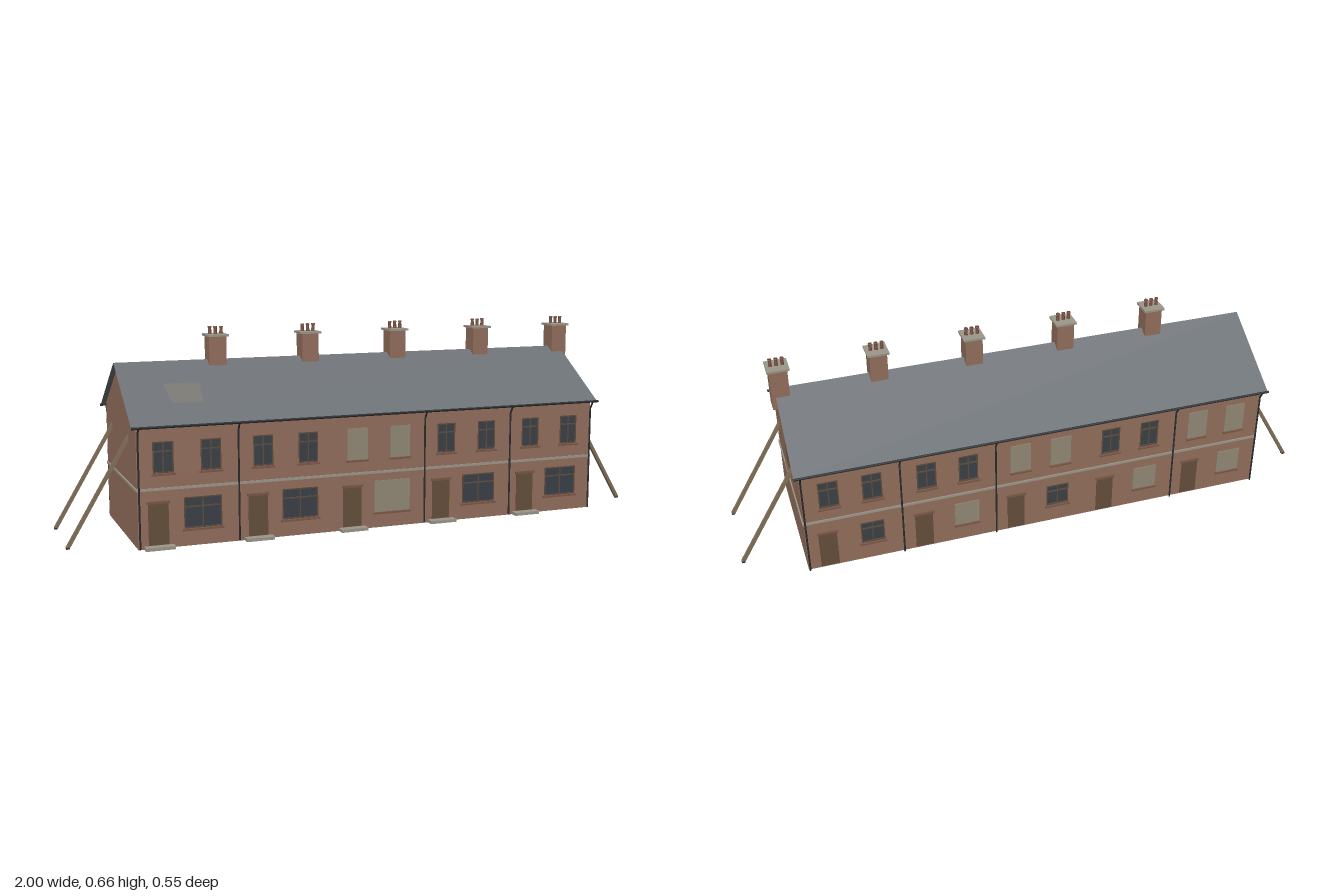
import * as THREE from 'three';

const mat = (color) => new THREE.MeshStandardMaterial({ color, side: THREE.DoubleSide });
const BRICK = mat(0x94705e), SLATE = mat(0x6c7176), STONE = mat(0x9d988b), GLASS = mat(0x3b4148);
const FRAME = mat(0x5f4d40), DOOR = mat(0x664f3d), BOARD = mat(0x938a76), SILL = mat(0x7c5848);
const IRON = mat(0x2b2d30), TIMBER = mat(0x84705a), POT = mat(0x7f5646), TARP = mat(0x77756f);

const HALF = 0.797, DEPTH = 0.247, BASE = 0.005, EAVES = 0.397, RIDGE = 0.556;
const UNIT = HALF * 2 / 5;

function add(parent, name, geometry, material, x = 0, y = 0, z = 0) {
  const mesh = new THREE.Mesh(geometry, material);
  mesh.name = name;
  mesh.position.set(x, y, z);
  parent.add(mesh);
  return mesh;
}

// Box given by its limits
function box(parent, name, material, x0, x1, y0, y1, z0, z1) {
  return add(parent, name, new THREE.BoxGeometry(x1 - x0, y1 - y0, z1 - z0), material,
    (x0 + x1) / 2, (y0 + y1) / 2, (z0 + z1) / 2);
}

const polygon = (pts, Type = THREE.Shape) => new Type(pts.map(([x, y]) => new THREE.Vector2(x, y)));
const rect = (x0, x1, y0, y1, Type) => polygon([[x0, y0], [x1, y0], [x1, y1], [x0, y1]], Type);

// Flat quad from four corners in order
function quad(parent, name, material, corners) {
  const g = new THREE.BufferGeometry();
  g.setAttribute('position', new THREE.Float32BufferAttribute(corners.flat(), 3));
  g.setIndex([0, 1, 2, 0, 2, 3]);
  g.computeVertexNormals();
  return add(parent, name, g, material);
}

// Four-light window with short top panes
function addWindow(parent, [x0, x1, y0, y1]) {
  const g = new THREE.Group();
  g.name = 'window';
  const b = 0.004, mid = (x0 + x1) / 2, bar = y0 + (y1 - y0) * 0.69;
  const frame = rect(x0, x1, y0, y1);
  for (const [l, r] of [[x0 + b, mid - b / 2], [mid + b / 2, x1 - b]])
    for (const [d, u] of [[y0 + b, bar - b / 2], [bar + b / 2, y1 - b]])
      frame.holes.push(rect(l, r, d, u, THREE.Path));
  add(g, 'windowFrame', new THREE.ExtrudeGeometry(frame, { depth: 0.007, bevelEnabled: false }), FRAME, 0, 0, -0.006);
  box(g, 'glass', GLASS, x0, x1, y0, y1, -0.005, -0.003);
  box(g, 'sill', SILL, x0 - 0.005, x1 + 0.005, y0 - 0.007, y0 - 0.001, -0.003, 0.007);
  parent.add(g);
}

function addBoard(parent, [x0, x1, y0, y1]) {
  box(parent, 'windowBoard', BOARD, x0 - 0.003, x1 + 0.003, y0 - 0.003, y1 + 0.003, -0.003, 0.003);
  box(parent, 'sill', SILL, x0 - 0.005, x1 + 0.005, y0 - 0.01, y0 - 0.004, -0.003, 0.007);
}

function addDoor(parent, [x0, x1, y0, y1], step) {
  box(parent, 'door', DOOR, x0, x1, y0, y1, -0.005, 0.001);
  box(parent, 'doorLintel', SILL, x0 - 0.004, x1 + 0.004, y1 - 0.004, y1 + 0.004, -0.003, 0.006);
  if (step) box(parent, 'doorStep', STONE, x0 - 0.014, x1 + 0.014, 0.005, 0.015, 0, 0.028);
}

// Wall sheet with openings cut out; local z points outwards
function addWall(parent, name, outline, openings) {
  const shape = polygon(outline);
  for (const o of openings) shape.holes.push(rect(...o, THREE.Path));
  return add(parent, name, new THREE.ShapeGeometry(shape), BRICK);
}

// Long facade: five dwellings laid out from its own left end
function addFacade(name, layout) {
  const g = new THREE.Group();
  g.name = name;
  const openings = [];
  for (let i = 0; i < 5; i++) {
    const shift = ([a, b, c, d]) => [a - HALF + i * UNIT, b - HALF + i * UNIT, c, d];
    const place = (o, boarded) => {
      const r = shift(o);
      openings.push(r);
      (boarded ? addBoard : addWindow)(g, r);
    };
    layout.upper.forEach((o) => place(o, layout.boardedUpper.includes(i)));
    place(layout.lower, layout.boardedLower.includes(i));
    const door = shift(layout.door);
    openings.push(door);
    addDoor(g, door, layout.steps);
  }
  addWall(g, 'longWall', [[-HALF, BASE], [HALF, BASE], [HALF, EAVES], [-HALF, EAVES]], openings);
  box(g, 'stringCourse', STONE, -HALF - 0.004, HALF + 0.004, 0.187, 0.195, 0, 0.004);

  // Gutter and downpipes
  const gutter = add(g, 'gutter', new THREE.CylinderGeometry(0.004, 0.004, 1.628, 8), IRON, 0, 0.386, 0.025);
  gutter.rotation.z = Math.PI / 2;
  for (const k of layout.pipes) {
    const x = THREE.MathUtils.clamp(-HALF + k * UNIT, -HALF + 0.004, HALF - 0.004);
    const path = new THREE.CurvePath();
    const pts = [[0.008, 0.009], [0.36, 0.009], [0.386, 0.025]].map(([y, z]) => new THREE.Vector3(x, y, z));
    path.add(new THREE.LineCurve3(pts[0], pts[1]));
    path.add(new THREE.LineCurve3(pts[1], pts[2]));
    add(g, 'downpipe', new THREE.TubeGeometry(path, 24, 0.003, 8), IRON);
  }
  return g;
}

function addGable(name, openings) {
  const g = new THREE.Group();
  g.name = name;
  addWall(g, 'gableWall', [[-DEPTH, BASE], [DEPTH, BASE], [DEPTH, EAVES], [0, RIDGE - 0.002], [-DEPTH, EAVES]], openings);
  openings.forEach((o) => addWindow(g, o));
  box(g, 'stringCourse', STONE, -DEPTH, DEPTH, 0.187, 0.195, 0, 0.004);
  return g;
}

// Stack, capping slab and a row of three pots
function addChimney(x) {
  const g = new THREE.Group();
  g.name = 'chimney';
  box(g, 'chimneyStack', BRICK, -0.029, 0.029, 0.495, 0.632, -0.029, 0.029);
  box(g, 'chimneyCap', STONE, -0.036, 0.036, 0.632, 0.639, -0.036, 0.036);
  const profile = [[0.006, 0], [0.005, 0.02], [0.0065, 0.021], [0.0065, 0.025], [0.0035, 0.025], [0.0035, 0.005]];
  for (const dx of [-0.019, 0, 0.019])
    add(g, 'chimneyPot', new THREE.LatheGeometry(profile.map((p) => new THREE.Vector2(...p)), 10), POT, dx, 0.639, 0);
  g.position.x = x;
  return g;
}

export function createModel() {
  const model = new THREE.Group();
  model.name = 'terraceHouses';

  // Facades
  const front = addFacade('frontFacade', {
    upper: [[0.05, 0.115, 0.24, 0.338], [0.2, 0.265, 0.24, 0.338]],
    lower: [0.144, 0.265, 0.06, 0.159], door: [0.032, 0.096, 0.016, 0.15],
    boardedUpper: [2], boardedLower: [2], pipes: [0, 1, 3, 4, 5], steps: true,
  });
  front.position.z = DEPTH;
  const back = addFacade('backFacade', {
    upper: [[0.055, 0.12, 0.24, 0.338], [0.195, 0.26, 0.24, 0.338]],
    lower: [0.18, 0.258, 0.07, 0.15], door: [0.042, 0.102, 0.008, 0.142],
    boardedUpper: [2, 4], boardedLower: [1, 3, 4], pipes: [0, 1, 2, 4, 5], steps: false,
  });
  back.position.z = -DEPTH;
  back.rotation.y = Math.PI;

  // Gable ends
  const left = addGable('leftGable', [[-0.036, 0.036, 0.246, 0.329]]);
  left.position.x = HALF;
  left.rotation.y = Math.PI / 2;
  const right = addGable('rightGable', []);
  right.position.x = -HALF;
  right.rotation.y = -Math.PI / 2;
  model.add(front, back, left, right);

  // Thin roof slopes
  const X = 0.813, Z = 0.269, slope = (RIDGE - EAVES) / DEPTH;
  const roofY = (z) => RIDGE + 0.001 - slope * Math.abs(z);
  quad(model, 'frontRoof', SLATE, [[-X, roofY(Z), Z], [X, roofY(Z), Z], [X, roofY(0), 0], [-X, roofY(0), 0]]);
  quad(model, 'backRoof', SLATE, [[X, roofY(Z), -Z], [-X, roofY(Z), -Z], [-X, roofY(0), 0], [X, roofY(0), 0]]);

  // Patch over a hole in the front slope
  const patch = (x, z) => [x, roofY(z) + 0.003, z];
  quad(model, 'roofPatch', TARP, [patch(-0.667, 0.18), patch(-0.568, 0.182), patch(-0.562, 0.101), patch(-0.677, 0.1)]);

  // Chimneys on the party walls and the left gable
  for (let i = 1; i <= 5; i++) model.add(addChimney(-HALF + i * UNIT));

  // Raking timber props at both ends, cut flush with wall and ground
  const prop = polygon([[1, 0], [1, 0.006], [0.799, 0.347], [0.799, 0.325], [0.99, 0]]);
  const propGeo = new THREE.ExtrudeGeometry(prop, { depth: 0.011, bevelEnabled: false });
  for (const turn of [0, Math.PI])
    for (const z of [-0.135, 0.135]) {
      const holder = new THREE.Group();
      holder.name = 'prop';
      add(holder, 'propBeam', propGeo, TIMBER, 0, 0, z - 0.0055);
      box(holder, 'propFoot', IRON, 0.989, 1, 0, 0.005, z - 0.006, z + 0.006);
      holder.rotation.y = turn;
      model.add(holder);
    }
  return model;
}
